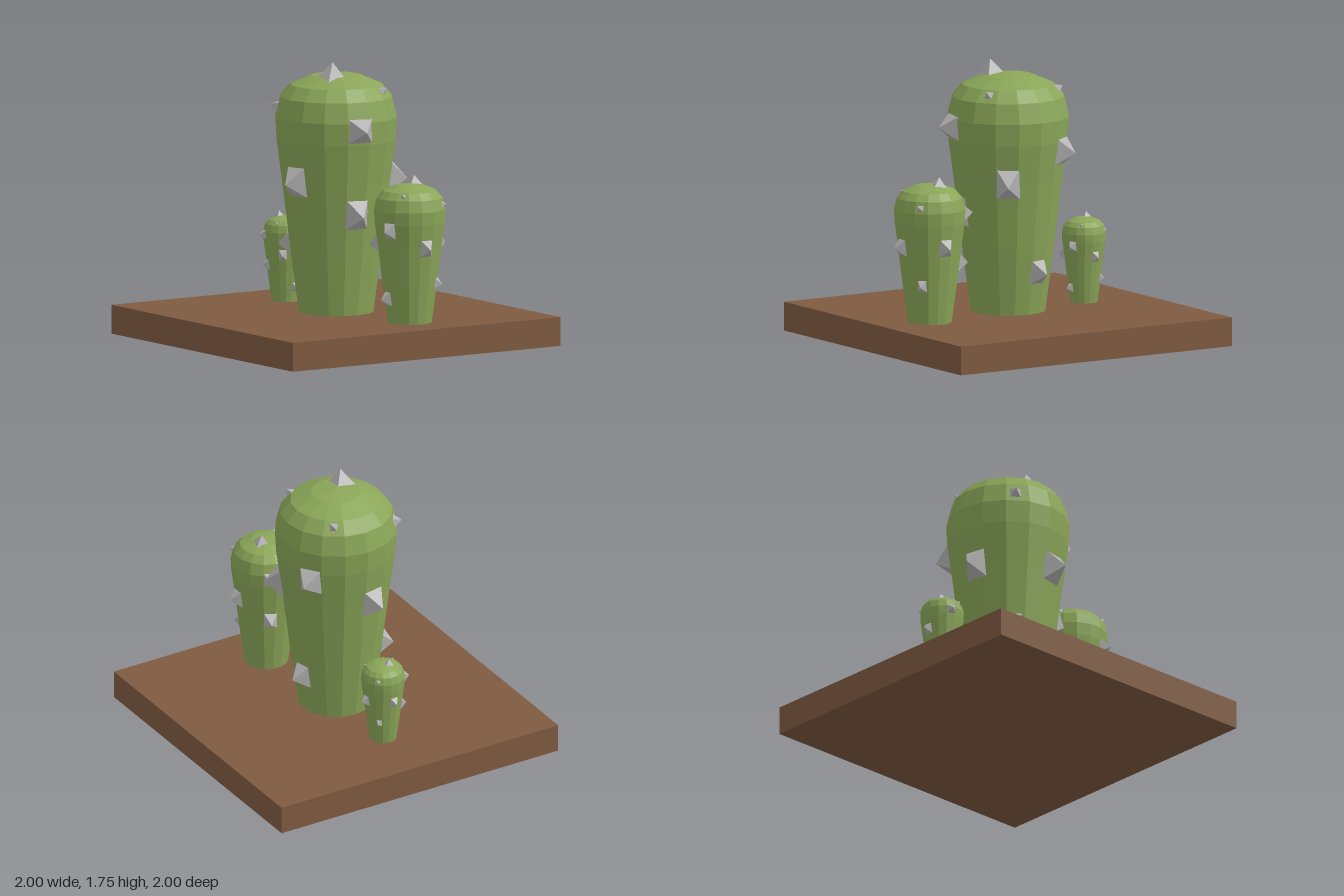
import * as THREE from 'three';

const flat = (name, color) => new THREE.MeshStandardMaterial({ name, color, flatShading: true });

export function createModel() {
  const green = flat('cactus green', 0x8aa658);
  const grey = flat('spike grey', 0xb4b4b4);
  const brown = flat('soil brown', 0x7f5a40);
  const model = new THREE.Group();
  model.name = 'cactusPatch';

  // Soil slab
  const SOIL = 0.18;
  const soil = new THREE.Mesh(new THREE.BoxGeometry(2, SOIL, 2), brown);
  soil.name = 'soil';
  soil.position.y = SOIL / 2;
  model.add(soil);

  // Body profile: radius, height above the soil
  const profile = [
    [0.235, 0], [0.29, 0.41], [0.34, 0.82], [0.375, 1.08], [0.382, 1.22],
    [0.35, 1.345], [0.285, 1.42], [0.155, 1.475], [0, 1.495],
  ].map(([r, y]) => new THREE.Vector2(r, y));
  const bodyGeometry = new THREE.LatheGeometry(profile, 16);

  // Unit pyramid with its tip at the origin, pointing along +z
  const spikeGeometry = new THREE.ConeGeometry(Math.SQRT1_2, 1, 4, 1, false, Math.PI / 4)
    .translate(0, -0.5, 0).rotateX(Math.PI / 2);

  // Spikes: tip x, y, z, upward tilt, width, height, length, optional heading
  const spikes = [
    [-0.08, 1.57, 0.08, 1.47, 0.14, 0.14, 0.11, 0],
    [-0.08, 1.17, 0.46, 0, 0.155, 0.15, 0.1],
    [0.19, 1.41, 0.28, 0.6, 0.11, 0.11, 0.09],
    [0.19, 1.41, -0.28, 0.6, 0.11, 0.11, 0.09],
    [-0.33, 1.29, -0.24, 0.25, 0.12, 0.11, 0.09],
    [-0.435, 0.83, 0.08, -0.1, 0.145, 0.19, 0.11],
    [0.37, 0.83, 0.24, -0.1, 0.145, 0.19, 0.11],
    [0.385, 1.01, -0.25, -0.1, 0.15, 0.18, 0.11],
    [-0.08, 0.82, -0.43, -0.1, 0.145, 0.19, 0.11],
    [-0.07, 0.63, 0.41, -0.1, 0.145, 0.19, 0.11],
    [0.352, 0.26, -0.06, -0.1, 0.115, 0.16, 0.1],
    [-0.29, 0.42, -0.21, -0.1, 0.13, 0.17, 0.1],
  ];

  function addCactus(name, x, z, scale, turn) {
    const cactus = new THREE.Group();
    cactus.name = name;
    const body = new THREE.Mesh(bodyGeometry, green);
    body.name = 'body';
    cactus.add(body);
    for (const [sx, sy, sz, tilt, w, h, len, heading = Math.atan2(sx, sz)] of spikes) {
      const spike = new THREE.Mesh(spikeGeometry, grey);
      spike.name = 'spike';
      spike.position.set(sx, sy, sz);
      spike.rotation.set(-tilt, heading, 0, 'YXZ');
      spike.scale.set(w, h, len);
      cactus.add(spike);
    }
    cactus.position.set(x, SOIL, z);
    cactus.rotation.y = turn;
    cactus.scale.setScalar(scale);
    model.add(cactus);
  }

  addCactus('tallCactus', 0, 0, 1, 0);
  addCactus('frontCactus', 0.11, 0.65, 0.58, 2.91);
  addCactus('backCactus', 0, -0.56, 0.357, -1.71);
  return model;
}
